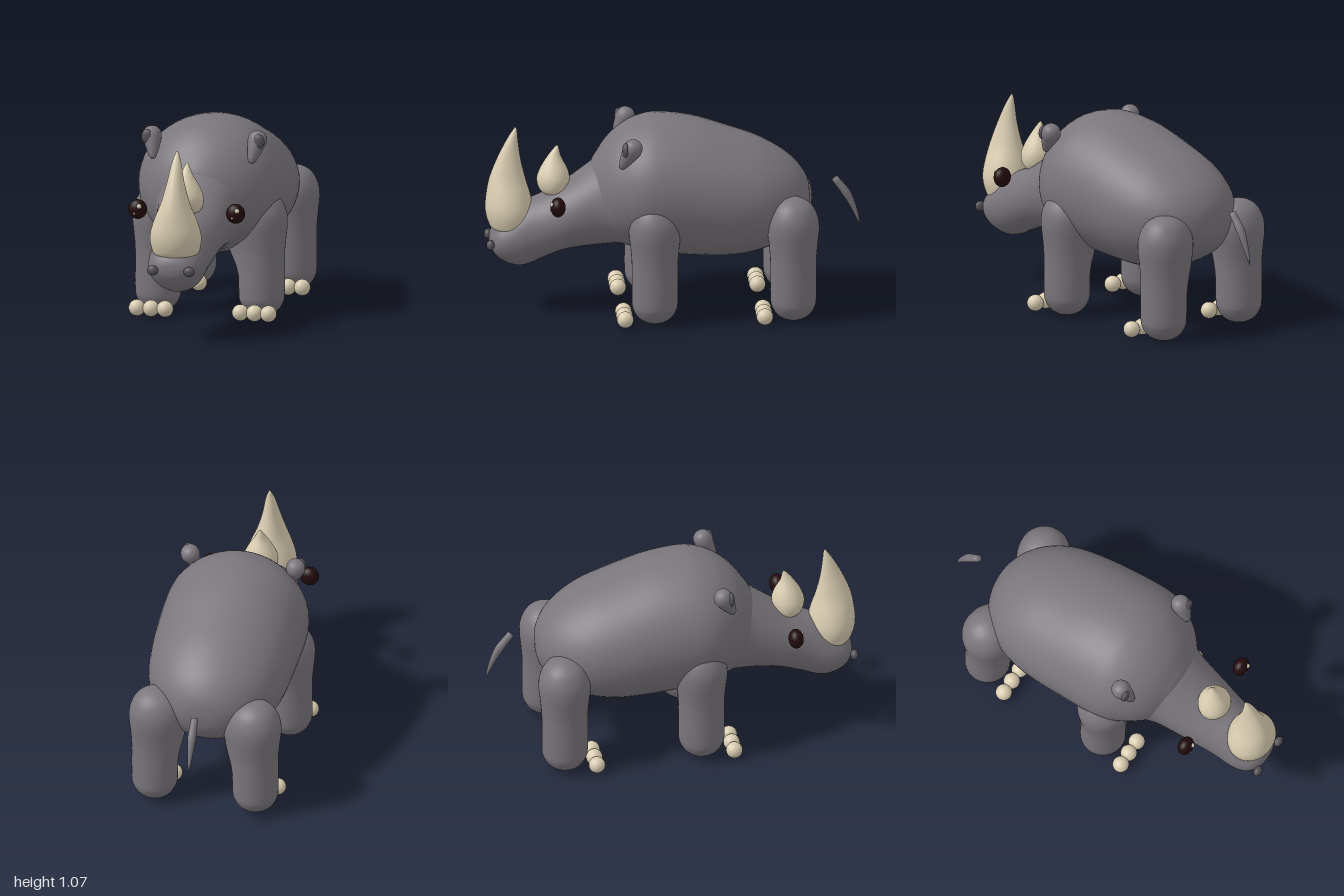
import * as THREE from 'three';

const mat = (name, color) => new THREE.MeshStandardMaterial({ name, color });

// Smooth closed loft through ellipse rows [t, low, high, halfWidth].
// axis 'z': rows run back to front; axis 'y': rows run top to bottom.
function loft(rows, axis, sides = 48, steps = 4) {
  const curve = new THREE.CubicInterpolant(rows.map((_, i) => i), rows.flat(), 4, new Float32Array(4));
  const rings = (rows.length - 1) * steps;
  const pos = [], index = [];
  for (let i = 0; i <= rings; i++) {
    const [t, lo, hi, half] = curve.evaluate(i / steps);
    const c = (lo + hi) / 2, r = Math.max(0, (hi - lo) / 2), w = Math.max(0, half);
    for (let j = 0; j < sides; j++) {
      const a = (j / sides) * Math.PI * 2;
      const x = w * Math.cos(a), v = c + r * Math.sin(a);
      pos.push(...(axis === 'z' ? [x, v, t] : [x, t, v]));
      if (i === rings) continue;
      const k = (j + 1) % sides, n = i * sides, m = n + sides;
      index.push(n + j, n + k, m + k, n + j, m + k, m + j);
    }
  }
  const g = new THREE.BufferGeometry();
  g.setAttribute('position', new THREE.Float32BufferAttribute(pos, 3));
  g.setIndex(index);
  g.computeVertexNormals();
  return g;
}

// Lathe from a smoothed [radius, height] profile.
function turned(profile, phiStart = 0) {
  const pts = new THREE.SplineCurve(profile.map(p => new THREE.Vector2(...p))).getPoints(44);
  pts.forEach(p => { p.x = Math.max(0, p.x); });
  return new THREE.LatheGeometry(pts, 40, phiStart);
}

// Round-ended leg whose inner side flares into the belly.
function legGeometry(side, flare) {
  const g = turned([[0, 0], [0.05, 0.011], [0.09, 0.037], [0.115, 0.078], [0.123, 0.13], [0.123, 0.32],
    [0.13, 0.42], [0.138, 0.5], [0.132, 0.57], [0.1, 0.635], [0.05, 0.67], [0, 0.68]], -side * Math.PI / 2);
  const p = g.attributes.position;
  for (let i = 0; i < p.count; i++) {
    if (p.getX(i) * side < 0) {
      p.setX(i, p.getX(i) * (1 + flare * THREE.MathUtils.smoothstep(p.getY(i), 0.2, 0.42)));
    }
  }
  return g;
}

// Curved tail: blunt at the top, swelling slightly, then pointed.
function tailGeometry() {
  const path = new THREE.CatmullRomCurve3([[0.697, -0.862], [0.6, -0.932], [0.5, -0.976], [0.43, -0.998]]
    .map(([y, z]) => new THREE.Vector3(0, y, z)));
  const n = 24, sides = 20;
  const g = new THREE.TubeGeometry(path, n, 1, sides);
  const p = g.attributes.position, v = new THREE.Vector3();
  for (let i = 0; i <= n; i++) {
    const u = i / n, c = path.getPointAt(u), base = path.getPointAt(i < 2 ? 0 : u);
    const r = i === 0 ? 0 : u < 0.35 ? 0.019 + 0.012 * u : 0.0232 * Math.pow((1 - u) / 0.65, 0.75);
    for (let j = 0; j <= sides; j++) {
      const k = i * (sides + 1) + j;
      v.fromBufferAttribute(p, k).sub(c).multiplyScalar(r).add(base);
      p.setXYZ(k, v.x, v.y, v.z);
    }
  }
  g.computeVertexNormals();
  return g;
}

export function createModel() {
  const model = new THREE.Group();
  model.name = 'rhinoceros';
  const hide = mat('grey hide', 0x7a767c);
  const dark = mat('dark grey skin', 0x555257);
  const horn = mat('cream horn', 0xd9cdb1);
  const eyeDark = mat('dark brown eye', 0x220b0c);

  const add = (name, geometry, material, x = 0, y = 0, z = 0) => {
    const m = new THREE.Mesh(geometry, material);
    m.name = name;
    m.position.set(x, y, z);
    model.add(m);
    return m;
  };
  const ball = (name, material, x, y, z, rx, ry = rx, rz = rx) =>
    add(name, new THREE.SphereGeometry(1, 28, 20).scale(rx, ry, rz), material, x, y, z);

  // Barrel body and shoulder hump
  add('body', loft([
    [-0.73, 0.61, 0.61, 0], [-0.72, 0.53, 0.69, 0.09], [-0.69, 0.47, 0.75, 0.165],
    [-0.64, 0.42, 0.81, 0.235], [-0.56, 0.37, 0.87, 0.3], [-0.45, 0.325, 0.93, 0.35],
    [-0.3, 0.3, 0.985, 0.378], [-0.1, 0.305, 1.05, 0.388], [0.08, 0.325, 1.072, 0.39],
    [0.18, 0.35, 1.055, 0.375], [0.26, 0.37, 1.02, 0.335], [0.34, 0.4, 0.955, 0.275],
    [0.4, 0.45, 0.875, 0.2], [0.44, 0.52, 0.8, 0.12], [0.455, 0.66, 0.66, 0],
  ], 'z'), hide);

  // Neck, head and rounded snout
  add('head', loft([
    [0.18, 0.63, 0.63, 0], [0.2, 0.38, 0.9, 0.3], [0.3, 0.375, 0.9, 0.265], [0.4, 0.365, 0.84, 0.22],
    [0.5, 0.355, 0.765, 0.2], [0.6, 0.335, 0.695, 0.184], [0.7, 0.295, 0.645, 0.165],
    [0.76, 0.267, 0.62, 0.157], [0.82, 0.255, 0.585, 0.155], [0.88, 0.27, 0.54, 0.147],
    [0.93, 0.3, 0.5, 0.125], [0.96, 0.335, 0.465, 0.09], [0.975, 0.365, 0.435, 0.05], [0.98, 0.4, 0.4, 0],
  ], 'z'), hide);

  // Horns
  add('frontHorn', loft([
    [1.022, 0.84, 0.84, 0], [1.005, 0.83, 0.851, 0.01], [0.95, 0.825, 0.885, 0.027],
    [0.85, 0.812, 0.935, 0.047], [0.74, 0.787, 0.977, 0.078], [0.65, 0.76, 0.994, 0.115],
    [0.57, 0.745, 1.0, 0.137], [0.5, 0.75, 0.985, 0.13], [0.46, 0.77, 0.955, 0.105], [0.44, 0.86, 0.86, 0],
  ], 'y'), horn);
  add('rearHorn', loft([
    [0.915, 0.615, 0.615, 0], [0.9, 0.607, 0.632, 0.011], [0.85, 0.595, 0.67, 0.035],
    [0.78, 0.56, 0.71, 0.075], [0.72, 0.55, 0.725, 0.093], [0.66, 0.57, 0.7, 0.075], [0.63, 0.63, 0.63, 0],
  ], 'y'), horn);

  add('tail', tailGeometry(), hide);

  for (const s of [1, -1]) {
    const label = s > 0 ? 'left' : 'right';

    // Nostrils and eyes, both eyes catching light on the same side
    ball(label + 'Nostril', dark, s * 0.1, 0.395, 0.978, 0.03, 0.027, 0.021);
    ball(label + 'Eye', eyeDark, s * 0.268, 0.652, 0.63, 0.051, 0.053, 0.04);
    ball(label + 'EyeGlint', horn, s * 0.268 + 0.015, 0.672, 0.661, 0.013);
    ball(label + 'EyeSmallGlint', horn, s * 0.268 - 0.01, 0.634, 0.666, 0.006);

    // Teardrop ear with a dark inner face
    const ear = add(label + 'Ear', turned([[0, 0], [0.017, 0.01], [0.032, 0.05], [0.043, 0.09], [0.051, 0.13],
      [0.044, 0.16], [0.025, 0.178], [0, 0.184]]), hide, s * 0.268, 0.86, 0.295);
    const lean = new THREE.Vector3(s * 0.02, 0.115, -0.062).normalize();
    ear.quaternion.setFromUnitVectors(new THREE.Vector3(0, 1, 0), lean);
    ball(label + 'InnerEar', dark, s * 0.305, 0.974, 0.272, 0.032, 0.04, 0.018);

    // Legs, each with three toes in front
    for (const [end, x, z, toeZ, flare] of [['Front', 0.283, 0.115, 0.278, 0.5], ['Hind', 0.275, -0.623, -0.465, 0.25]]) {
      add(label + end + 'Leg', legGeometry(s, flare), hide, s * x, 0, z);
      for (const i of [-1, 0, 1]) {
        ball(label + end + 'Toe', horn, s * (0.283 + i * 0.077), 0.046, toeZ, 0.044);
      }
    }
  }
  return model;
}
